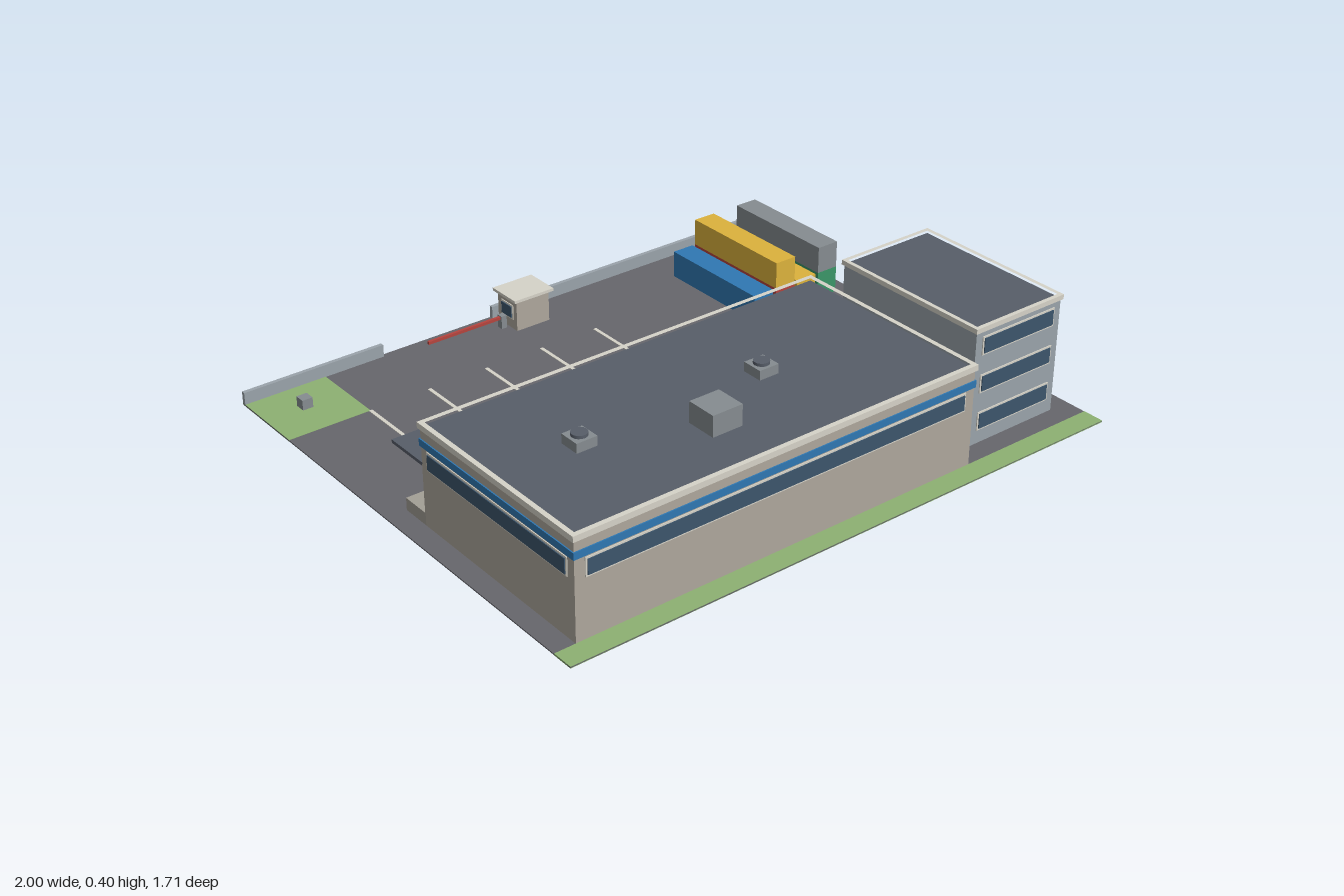
import * as THREE from 'three';

const mats = {};
const mat = (c) => (mats[c] ??= new THREE.MeshStandardMaterial({ color: c }));
const C = {
  asphalt: 0x66666c, grass: 0x8db172, wall: 0xaea79c, office: 0x9aa3aa, trim: 0xd6d3c8,
  roof: 0x575e69, glass: 0x3c556c, blue: 0x2f78b3, grey: 0x868c90, yellow: 0xdcb23c,
  red: 0xb5443e, green: 0x3b9668, brown: 0x6b4a35, concrete: 0xa39f96, shutter: 0xb4b8bb,
};

// Box given by its extents along each axis
function box(parent, name, color, x0, x1, y0, y1, z0, z1) {
  const m = new THREE.Mesh(new THREE.BoxGeometry(x1 - x0, y1 - y0, z1 - z0), mat(color));
  m.position.set((x0 + x1) / 2, (y0 + y1) / 2, (z0 + z1) / 2);
  m.name = name;
  parent.add(m);
  return m;
}

function group(parent, name) {
  const g = new THREE.Group();
  g.name = name;
  parent.add(g);
  return g;
}

// Open rectangular rim around a flat roof
function parapet(parent, x0, x1, z0, z1, y0, y1, t) {
  const rect = (P, i) => new P([[x0 + i, -z0 - i], [x1 - i, -z0 - i], [x1 - i, -z1 + i], [x0 + i, -z1 + i]]
    .map(([a, b]) => new THREE.Vector2(a, b)));
  const s = rect(THREE.Shape, 0);
  s.holes.push(rect(THREE.Path, t));
  const g = new THREE.ExtrudeGeometry(s, { depth: y1 - y0, bevelEnabled: false });
  g.rotateX(-Math.PI / 2).translate(0, y0, 0);
  const m = new THREE.Mesh(g, mat(C.trim));
  m.name = 'parapet';
  parent.add(m);
}

// Ribbon window with a pale frame; axis is the wall's normal, a..b runs along the wall
function ribbonWindow(parent, axis, sign, at, a, b, y0, y1) {
  const f = 0.006;
  const layer = (name, color, d, e) => {
    const [p, q] = sign > 0 ? [at - 0.004, at + d] : [at - d, at + 0.004];
    if (axis === 'z') box(parent, name, color, a - e, b + e, y0 - e, y1 + e, p, q);
    else box(parent, name, color, p, q, y0 - e, y1 + e, a - e, b + e);
  };
  layer('windowFrame', C.trim, 0.003, f);
  layer('windowGlass', C.glass, 0.006, 0);
}

function buildSite(root) {
  const g = group(root, 'site');
  box(g, 'asphalt', C.asphalt, -1, 1, 0.0008, 0.005, -0.857, 0.857);
  box(g, 'grassStrip', C.grass, -1, 1, 0, 0.006, 0.785, 0.857);
  box(g, 'grassCorner', C.grass, -1, -0.715, 0, 0.006, -0.857, -0.575);
  box(g, 'planter', C.grey, -0.878, -0.842, 0.004, 0.04, -0.738, -0.702);
  for (const [a, b] of [[-1, -0.5], [-0.08, 1]]) box(g, 'boundaryWall', C.office, a, b, 0.003, 0.047, -0.857, -0.843);
  for (let i = 0; i < 5; i++) {
    const x = -0.715 + i * 0.214;
    box(g, 'bayLine', C.trim, x - 0.006, x + 0.006, 0.004, 0.007, -0.575, -0.09);
  }
}

function buildWarehouse(root) {
  const g = group(root, 'warehouse');
  const [x0, x1, z0, z1] = [-0.93, 0.5, 0.07, 0.785];
  box(g, 'walls', C.wall, x0, x1, 0.003, 0.325, z0, z1);
  box(g, 'roof', C.roof, x0 + 0.005, x1 - 0.005, 0.32, 0.331, z0 + 0.005, z1 - 0.005);
  box(g, 'blueBand', C.blue, x0 - 0.004, x1 + 0.004, 0.267, 0.29, z0 - 0.004, z1 + 0.004);
  parapet(g, x0 - 0.006, x1 + 0.006, z0 - 0.006, z1 + 0.006, 0.323, 0.342, 0.016);
  ribbonWindow(g, 'z', 1, z1, -0.89, 0.46, 0.206, 0.255);
  ribbonWindow(g, 'x', 1, x1, 0.105, 0.75, 0.206, 0.255);
  ribbonWindow(g, 'x', -1, x0, 0.105, 0.75, 0.206, 0.255);

  // Loading side: platform, doors and canopy
  box(g, 'loadingDock', C.concrete, -0.93, 0.36, 0.003, 0.046, -0.03, 0.072);
  box(g, 'canopy', C.roof, -0.93, 0.36, 0.201, 0.212, -0.088, 0.072);
  for (let i = 0; i < 6; i++) {
    const x = -0.822 + i * 0.214;
    box(g, 'doorSurround', C.grey, x - 0.068, x + 0.068, 0.044, 0.163, 0.065, 0.072);
    box(g, 'dockDoor', C.shutter, x - 0.06, x + 0.06, 0.044, 0.155, 0.064, 0.072);
  }
  box(g, 'sideDoor', C.brown, 0.405, 0.455, 0.003, 0.11, 0.064, 0.072);
  box(g, 'signPanel', C.yellow, -0.4, -0.18, 0.214, 0.25, 0.06, 0.072);

  // Roof plant
  box(g, 'roofUnit', C.grey, -0.34, -0.235, 0.33, 0.4, 0.517, 0.62);
  for (const x of [-0.645, 0]) {
    box(g, 'fanHousing', C.grey, x - 0.035, x + 0.035, 0.33, 0.362, 0.388, 0.458);
    const fan = new THREE.Mesh(new THREE.CylinderGeometry(0.025, 0.025, 0.012, 16), mat(C.roof));
    fan.position.set(x, 0.366, 0.423);
    fan.name = 'fan';
    g.add(fan);
  }
}

function buildOffice(root) {
  const g = group(root, 'office');
  const [x0, x1, z0, z1] = [0.573, 0.925, 0.142, 0.713];
  box(g, 'walls', C.office, x0, x1, 0.003, 0.39, z0, z1);
  box(g, 'roof', C.roof, x0 + 0.005, x1 - 0.005, 0.385, 0.394, z0 + 0.005, z1 - 0.005);
  parapet(g, x0 - 0.006, x1 + 0.006, z0 - 0.006, z1 + 0.006, 0.388, 0.404, 0.014);
  for (let i = 0; i < 3; i++) {
    const y = 0.057 + i * 0.128;
    ribbonWindow(g, 'z', 1, z1, 0.605, 0.893, y, y + 0.05);
    ribbonWindow(g, 'z', -1, z0, 0.605, 0.893, y, y + 0.05);
    ribbonWindow(g, 'x', 1, x1, 0.18, 0.68, y, y + 0.05);
  }
  box(g, 'officeDoor', C.brown, 0.722, 0.776, 0.003, 0.054, z0 - 0.008, z0 + 0.004);
}

function buildContainers(root) {
  const g = group(root, 'containers');
  // Each stack lists its colours from the ground up
  const stacks = [[C.blue], [C.red, C.yellow], [C.yellow], [C.green, C.grey]];
  stacks.forEach((stack, i) => stack.forEach((color, j) => {
    const x = 0.583 + i * 0.0925;
    box(g, 'container', color, x, x + 0.081, 0.005 + j * 0.093, 0.098 + j * 0.093, -0.715, -0.29);
  }));
}

function buildGate(root) {
  const g = group(root, 'gate');
  box(g, 'guardHut', C.wall, -0.066, 0.062, 0.003, 0.113, -0.826, -0.72);
  box(g, 'hutRoof', C.trim, -0.079, 0.075, 0.112, 0.122, -0.836, -0.71);
  box(g, 'hutDoor', C.brown, -0.02, 0.025, 0.003, 0.075, -0.83, -0.82);
  ribbonWindow(g, 'x', -1, -0.066, -0.8, -0.745, 0.045, 0.085);
  box(g, 'barrierPost', C.grey, -0.098, -0.078, 0.003, 0.05, -0.785, -0.762);
  box(g, 'barrierArm', C.red, -0.375, -0.085, 0.037, 0.047, -0.778, -0.768);
}

export function createModel() {
  const root = new THREE.Group();
  root.name = 'logisticsDepot';
  [buildSite, buildWarehouse, buildOffice, buildContainers, buildGate].forEach((build) => build(root));
  return root;
}
